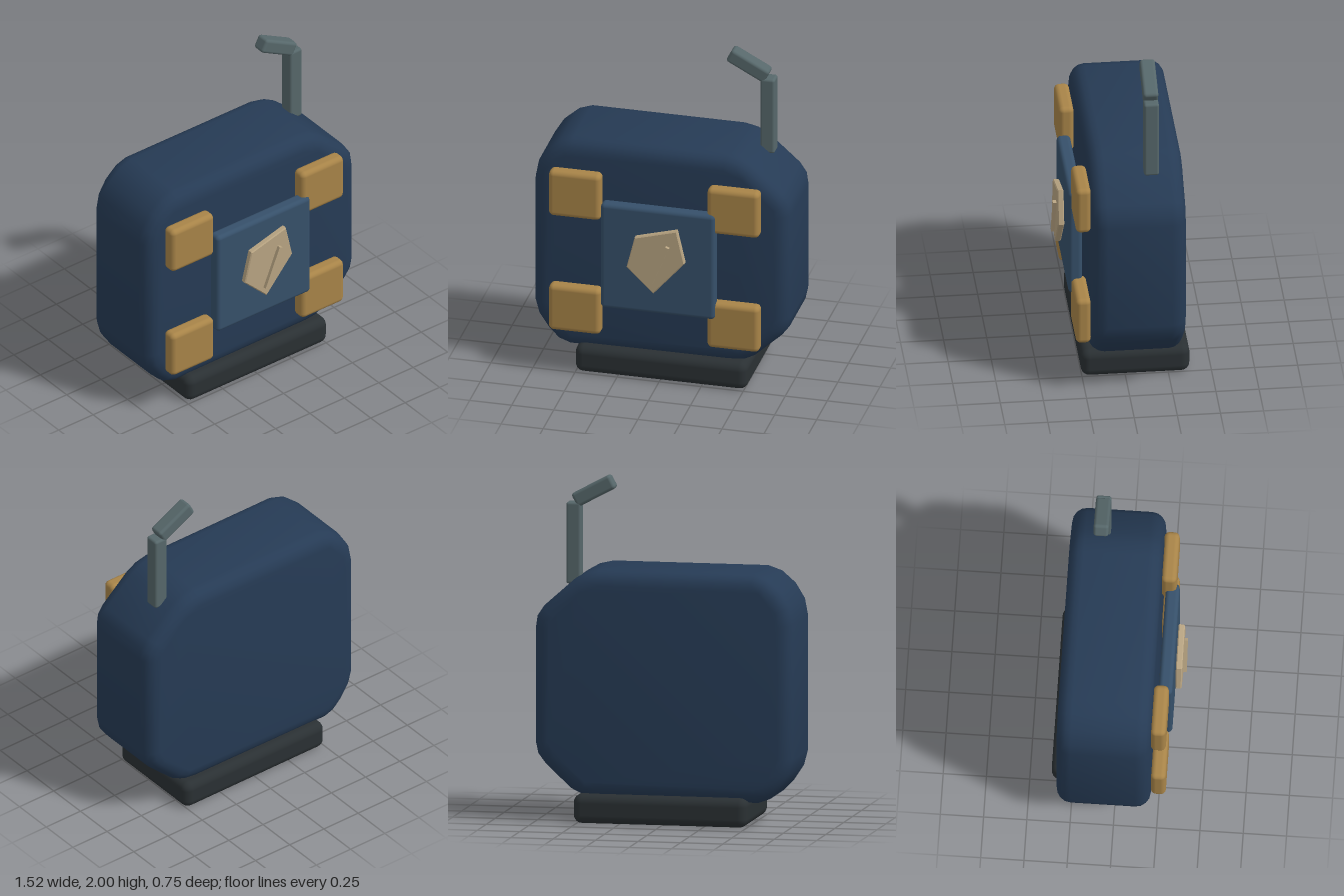
import * as THREE from 'three';
import { toCreasedNormals } from 'three/addons/utils/BufferGeometryUtils.js';
import { RoundedBoxGeometry } from 'three/addons/geometries/RoundedBoxGeometry.js';

const mat = (color) => new THREE.MeshStandardMaterial({ color });
const navy = mat(0x263b55);
const blue = mat(0x36506a);
const gold = mat(0xa88448);
const cream = mat(0xb8a482);
const steel = mat(0x56676a);
const dark = mat(0x2a3033);

// Rounded box given by its minimum and maximum corners
function block(name, [x0, y0, z0], [x1, y1, z1], radius, material) {
  const geo = new RoundedBoxGeometry(x1 - x0, y1 - y0, z1 - z0, 3, radius);
  const mesh = new THREE.Mesh(geo, material);
  mesh.name = name;
  mesh.position.set((x0 + x1) / 2, (y0 + y1) / 2, (z0 + z1) / 2);
  return mesh;
}

// Outline extruded from z0 to z1, with bevelled edges kept inside the outline
function slab(name, points, z0, z1, bevel, segments, crease, material) {
  const shape = new THREE.Shape(points.map(([x, y]) => new THREE.Vector2(x, y)));
  const geo = new THREE.ExtrudeGeometry(shape, {
    depth: z1 - z0 - 2 * bevel,
    bevelThickness: bevel,
    bevelSize: bevel,
    bevelOffset: -bevel,
    bevelSegments: segments,
  });
  geo.translate(0, 0, z0 + bevel);
  const mesh = new THREE.Mesh(toCreasedNormals(geo, crease), material);
  mesh.name = name;
  return mesh;
}

export function createModel() {
  const model = new THREE.Group();

  // Case: rounder corners on one side, broad chamfers on the other
  const outline = [
    [-0.55, 0.135], [0.4, 0.145], [0.48, 0.155], [0.55, 0.19],
    [0.7, 0.33], [0.745, 0.39], [0.76, 0.46],
    [0.76, 1.12], [0.75, 1.19], [0.71, 1.25],
    [0.53, 1.41], [0.46, 1.45], [0.38, 1.468],
    [-0.53, 1.468], [-0.61, 1.44], [-0.69, 1.37], [-0.745, 1.28], [-0.764, 1.18],
    [-0.764, 0.4], [-0.74, 0.31], [-0.68, 0.22], [-0.62, 0.16],
  ];
  model.add(slab('body', outline, -0.333, 0.21, 0.085, 4, 0.6, navy));

  // Foot
  model.add(block('base', [-0.505, 0, -0.375], [0.52, 0.17, 0.255], 0.05, dark));

  // Four corner pads
  for (const [side, x] of [['right', -0.65], ['left', 0.293]]) {
    for (const [level, y] of [['lower', 0.275], ['upper', 1.01]]) {
      model.add(block(`${side} ${level} pad`, [x, y, 0.207], [x + 0.31, y + 0.29, 0.295], 0.03, gold));
    }
  }

  // Front panel with its plate and needle
  model.add(block('panel', [-0.335, 0.465, 0.232], [0.345, 1.135, 0.312], 0.025, blue));
  const plate = [[-0.01, 0.615], [0.177, 0.83], [0.13, 1.035], [-0.12, 0.965], [-0.168, 0.77]];
  model.add(slab('plate', plate, 0.318, 0.355, 0.006, 1, 0.4, cream));
  const needle = new THREE.Mesh(new THREE.BoxGeometry(0.022, 0.27, 0.035), cream);
  needle.name = 'needle';
  needle.position.set(0.027, 0.805, 0.358);
  needle.rotation.z = -0.39;
  model.add(needle);

  // Antenna: upright post and tilted tip
  model.add(block('antennaPost', [0.51, 1.37, -0.188], [0.597, 1.845, -0.1], 0.015, steel));
  const tip = block('antennaTip', [0.31, 1.869, -0.188], [0.564, 1.955, -0.1], 0.018, steel);
  tip.rotation.z = -0.49;
  model.add(tip);

  return model;
}
